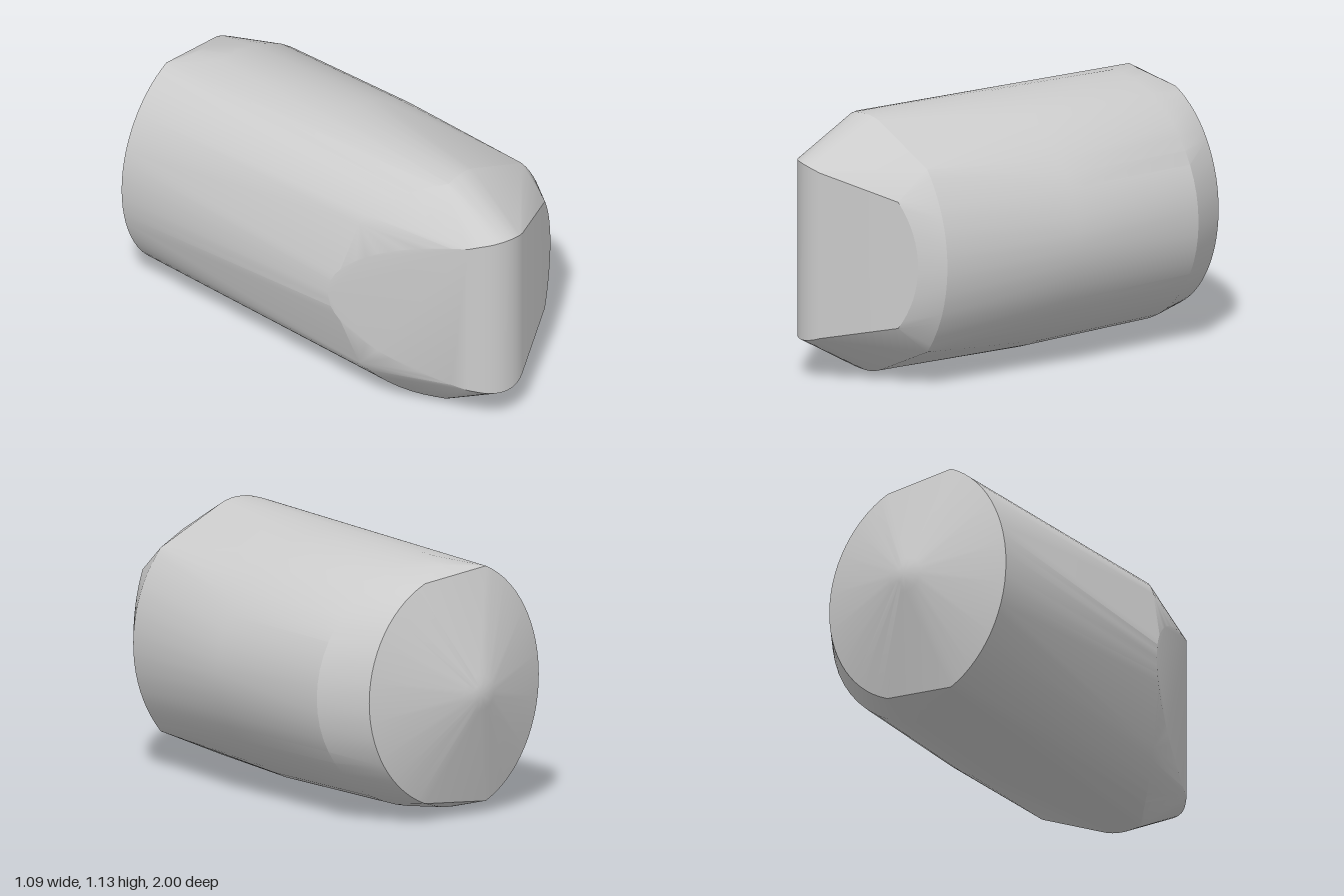
import * as THREE from 'three';
import { ConvexGeometry } from 'three/addons/geometries/ConvexGeometry.js';
import { toCreasedNormals } from 'three/addons/utils/BufferGeometryUtils.js';

const MID = 0.57; // height of the horizontal symmetry plane

// Elliptic arc around the hull's long axis, mirrored top to bottom.
// Angles are in degrees from +x; z follows the plane z0 + slope * x.
function arc(cx, rx, ry, from, to, z0, slope = 0, steps = 14) {
  const points = [];
  for (let i = 0; i <= steps; i++) {
    const t = THREE.MathUtils.degToRad(from + ((to - from) * i) / steps);
    const x = cx + rx * Math.cos(t);
    const y = ry * Math.sin(t);
    for (const side of [1, -1]) points.push(new THREE.Vector3(x, MID + side * y, z0 + slope * x));
  }
  return points;
}

// Upright rounded nose edge with gently domed ends
function nose(cx, cz, r, steps = 10) {
  const points = [];
  for (let i = 0; i <= steps; i++) {
    const t = THREE.MathUtils.degToRad(52 + (98 * i) / steps);
    const x = cx + r * Math.cos(t);
    const y = 0.39 - 1.5 * (x + 0.12) ** 2;
    for (const side of [1, -1]) points.push(new THREE.Vector3(x, MID + side * y, cz + r * Math.sin(t)));
  }
  return points;
}

export function createModel() {
  const group = new THREE.Group();
  group.name = 'roundedHull';

  const points = [
    ...nose(-0.07, 0.828, 0.172),
    // rims of the two flat nose faces
    ...arc(-0.11, 0.39, 0.39, 109.5, 180, 1.43, 2.22),
    ...arc(-0.09, 0.51, 0.51, 0, 33, 0.991, -0.55, 8),
    // front shoulder: right side, crown, left side
    ...arc(-0.08, 0.43, 0.565, 98, 140, 0.83, 1, 8),
    ...arc(-0.07, 0.38, 0.565, 76, 104, 0.675, -0.1, 6),
    ...arc(-0.13, 0.625, 0.625, 0, 40, 0.66, 0, 10),
    // widest section
    ...arc(-0.08, 0.62, 0.555, 0, 92, 0),
    // rear shoulder and its crown
    ...arc(-0.1, 0.6, 0.543, 0, 92, -0.66),
    ...arc(-0.12, 0.4, 0.53, 80, 100, -0.79, 0, 4),
    // back rim, cut off straight between its two arcs
    ...arc(-0.1, 0.445, 0.55, 111, 180, -0.852, -0.022),
    ...arc(-0.1, 0.47, 0.515, 0, 69, -0.852, -0.022),
    // blunt back tip
    ...arc(-0.12, 0.08, 0.08, 0, 180, -0.986, 0, 10),
    ...arc(-0.12, 0.04, 0.04, 0, 180, -0.998, 0, 10),
    new THREE.Vector3(-0.12, MID, -1),
  ];

  // Convex skin over all the section curves
  const geometry = toCreasedNormals(new ConvexGeometry(points), 0.42);
  const hull = new THREE.Mesh(geometry, new THREE.MeshStandardMaterial({ color: 0xcccccc }));
  hull.name = 'hull';
  group.add(hull);
  return group;
}
